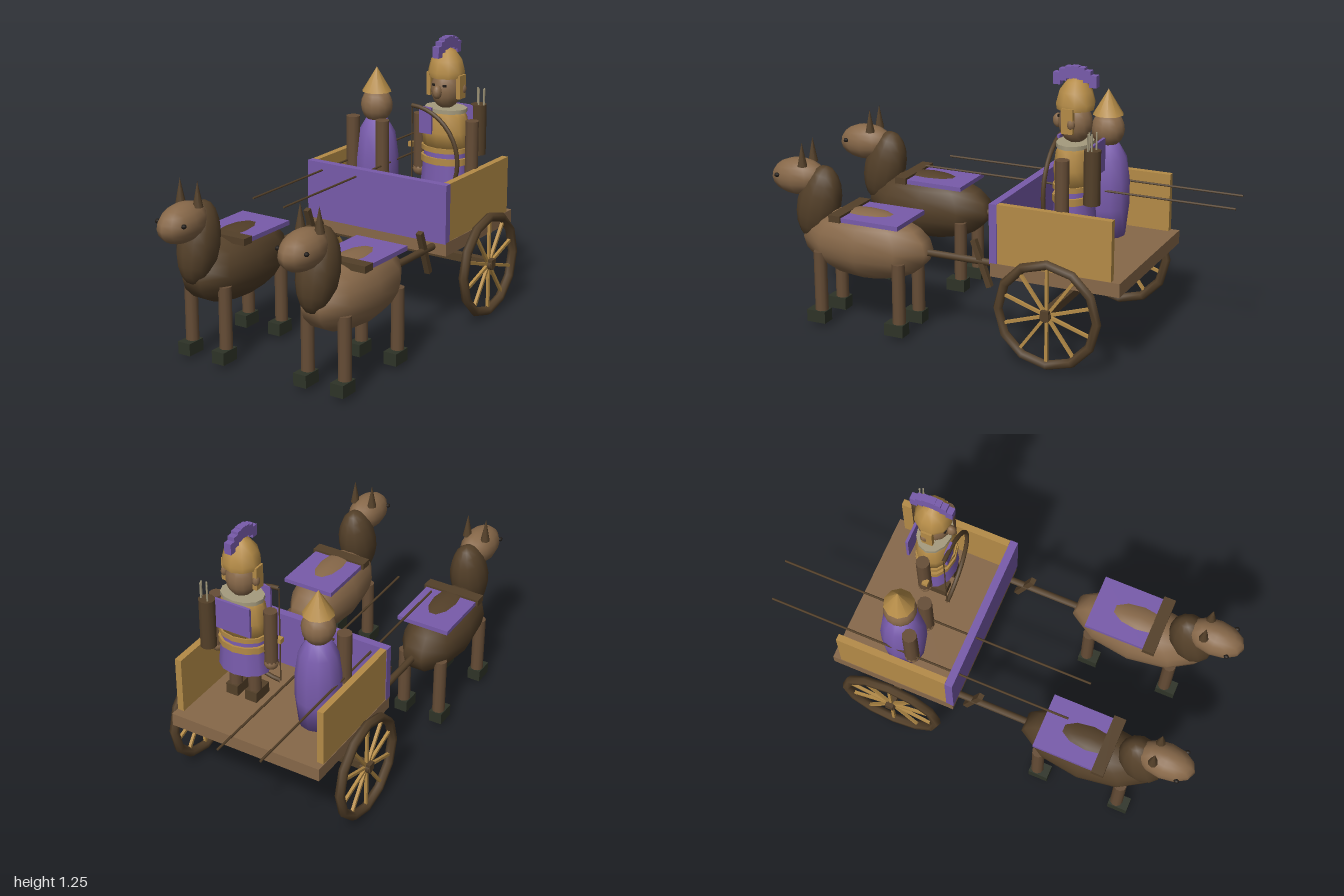
import * as THREE from 'three';

const mat = (name, color, side = THREE.FrontSide) => {
  const m = new THREE.MeshStandardMaterial({ color, side });
  m.name = name;
  return m;
};

export function createModel() {
  const model = new THREE.Group();
  model.name = 'warChariot';
  const tan = mat('tan brown', 0x876849);
  const brown = mat('leg brown', 0x664d36);
  const dark = mat('dark wood', 0x544029);
  const gold = mat('gold', 0xb48b47);
  const purple = mat('purple', 0x785bab, THREE.DoubleSide);
  const hoofMat = mat('hoof black', 0x2e3327);
  const black = mat('eye black', 0x211c18);
  const linen = mat('linen', 0xa59b7e);

  const add = (parent, name, geo, m, x = 0, y = 0, z = 0) => {
    const mesh = new THREE.Mesh(geo, m);
    mesh.name = name;
    mesh.position.set(x, y, z);
    parent.add(mesh);
    return mesh;
  };
  const group = (name, x, y, z) => {
    const g = new THREE.Group();
    g.name = name;
    g.position.set(x, y, z);
    model.add(g);
    return g;
  };
  const box = (w, h, d) => new THREE.BoxGeometry(w, h, d);
  const cyl = (r, h, n = 10, r2 = r) => new THREE.CylinderGeometry(r, r2, h, n);
  const ball = (rx, ry, rz, n = 12, k = 8) => new THREE.SphereGeometry(1, n, k).scale(rx, ry, rz);
  const lathe = (pts, n = 12) => new THREE.LatheGeometry(pts.map(p => new THREE.Vector2(...p)), n);

  // Cart body
  const cart = group('cart', 0, 0, 0);
  add(cart, 'floor', box(0.725, 0.06, 0.58), tan, 0, 0.388, -0.38);
  add(cart, 'frontPanel', box(0.725, 0.265, 0.035), purple, 0, 0.545, -0.103);
  for (const s of [-1, 1]) {
    add(cart, 'sidePanel', box(0.03, 0.265, 0.51), gold, s * 0.345, 0.545, -0.376);
    const shaft = add(cart, 'shaft', cyl(0.016, 0.36, 8), dark, s * 0.295, 0.392, 0.085);
    shaft.rotation.x = Math.PI / 2;
    const peg = add(cart, 'shaftPeg', box(0.026, 0.215, 0.024), dark, s * 0.295, 0.383, -0.02);
    peg.rotation.x = 0.36;
  }

  // Axle and wheels
  add(cart, 'axle', box(0.885, 0.036, 0.036), dark, 0, 0.258, -0.373);
  for (const s of [-1, 1]) {
    const wheel = group('wheel', s * 0.416, 0.25, -0.373);
    wheel.rotation.y = Math.PI / 2;
    add(wheel, 'rim', new THREE.TorusGeometry(0.221, 0.021, 6, 12), dark);
    add(wheel, 'hub', cyl(0.024, 0.045, 10), dark).rotation.x = Math.PI / 2;
    for (let i = 0; i < 10; i++) {
      const a = i * Math.PI / 5;
      const spoke = add(wheel, 'spoke', box(0.013, 0.205, 0.013), gold,
        -Math.sin(a) * 0.115, Math.cos(a) * 0.115, 0);
      spoke.rotation.z = a;
    }
  }

  // Spears lying along the cart
  for (const [x, z0, z1] of [[-0.103, -1, 0.45], [-0.285, -0.975, 0.42]]) {
    add(cart, 'spear', cyl(0.005, z1 - z0, 6), dark, x, 0.642, (z0 + z1) / 2).rotation.x = Math.PI / 2;
  }

  // Horses
  for (const [hx, coat] of [[-0.3, dark], [0.297, tan]]) {
    const horse = group('horse', hx, 0, 0);
    add(horse, 'body', ball(0.139, 0.156, 0.315, 10, 10), coat, 0, 0.394, 0.53);
    add(horse, 'neck', ball(0.085, 0.178, 0.1, 12, 10), dark, 0, 0.543, 0.77).rotation.x = -0.25;
    add(horse, 'head', ball(0.078, 0.083, 0.132, 12, 10), tan, 0, 0.655, 0.868).rotation.x = 0.06;
    add(horse, 'blanket', box(0.25, 0.02, 0.28), purple, 0, 0.525, 0.455);
    add(horse, 'yoke', box(0.272, 0.03, 0.055), dark, 0, 0.53, 0.617);
    for (const s of [-1, 1]) {
      add(horse, 'eye', ball(0.01, 0.01, 0.012, 8, 6), black, s * 0.068, 0.668, 0.94);
      add(horse, 'ear', new THREE.ConeGeometry(0.022, 0.11, 8), dark, s * 0.045, 0.77, 0.822);
      for (const z of [0.72, 0.333]) {
        add(horse, 'leg', cyl(0.029, 0.28, 10), brown, s * 0.09, 0.215, z);
        add(horse, 'hoof', box(0.062, 0.055, 0.09), hoofMat, s * 0.09, 0.055, z + 0.014);
      }
    }
  }

  // Driver
  const driver = group('driver', -0.192, 0, -0.39);
  add(driver, 'robe', lathe([[0, 0.42], [0.085, 0.42], [0.1, 0.55], [0.1, 0.66], [0.085, 0.77], [0.05, 0.83], [0, 0.845]]), purple);
  add(driver, 'head', ball(0.073, 0.08, 0.073, 14, 10), tan, 0, 0.895, 0);
  add(driver, 'hat', new THREE.ConeGeometry(0.068, 0.113, 10), gold, 0, 1.015, 0);
  for (const s of [-1, 1]) {
    add(driver, 'arm', cyl(0.032, 0.25, 10), brown, s * 0.079, 0.723, 0.075);
    add(driver, 'hand', ball(0.034, 0.034, 0.034, 10, 8), tan, s * 0.079, 0.6, 0.075);
  }

  // Archer: legs, skirt and armour
  const archer = group('archer', 0.174, 0, -0.39);
  for (const s of [-1, 1]) {
    add(archer, 'leg', cyl(0.03, 0.2, 10), brown, s * 0.048, 0.55, 0);
    add(archer, 'boot', box(0.058, 0.05, 0.1), dark, s * 0.048, 0.443, 0.015);
    add(archer, 'arm', cyl(0.03, 0.25, 10), brown, s * 0.134, 0.765, 0);
    add(archer, 'hand', ball(0.032, 0.032, 0.032, 10, 8), tan, s * 0.134, 0.632, 0);
    add(archer, 'cheekGuard', box(0.02, 0.105, 0.05), gold, s * 0.076, 1.037, 0.003);
    add(archer, 'ear', ball(0.016, 0.025, 0.018, 8, 6), tan, s * 0.077, 1.025, -0.012);
    add(archer, 'eye', box(0.016, 0.009, 0.009), black, s * 0.027, 1.044, 0.062);
  }
  const squash = g => g.scale(1, 1, 0.75);
  add(archer, 'skirt', squash(cyl(0.1, 0.18, 12, 0.118)), purple, 0, 0.665, 0);
  add(archer, 'breastplate', squash(lathe([[0, 0.745], [0.104, 0.745], [0.112, 0.83], [0.1, 0.9], [0.085, 0.922], [0, 0.922]])), gold);
  add(archer, 'belt', squash(cyl(0.115, 0.022, 12)), gold, 0, 0.752, 0);
  add(archer, 'lowerBelt', squash(cyl(0.117, 0.03, 12)), gold, 0, 0.702, 0);
  add(archer, 'collar', squash(cyl(0.1, 0.018, 12)), linen, 0, 0.928, 0);
  add(archer, 'shoulderCloth', box(0.062, 0.12, 0.012), purple, -0.053, 0.885, 0.085);
  add(archer, 'backCloth', box(0.19, 0.14, 0.012), purple, 0, 0.865, -0.09);
  add(archer, 'swordHilt', box(0.025, 0.022, 0.025), gold, -0.165, 0.745, 0.02);

  // Archer: head, helmet and crest
  add(archer, 'head', ball(0.068, 0.088, 0.072, 14, 10), tan, 0, 1.018, 0);
  add(archer, 'nose', ball(0.02, 0.031, 0.024, 10, 8), tan, 0, 1.016, 0.076);
  add(archer, 'helmet', lathe([[0.079, 1.075], [0.083, 1.1], [0.07, 1.15], [0.04, 1.19], [0, 1.212]], 10), gold);
  for (let i = -3; i <= 3; i++) {
    add(archer, 'crest', box(0.032, 0.05, 0.032), purple, 0, 1.228 - i * i * 0.0036, i * 0.0265);
  }

  // Bow with string
  const bow = group('bow', 0.055, 0.71, -0.298);
  const limb = add(bow, 'limb', new THREE.TorusGeometry(0.235, 0.01, 8, 20, Math.PI), dark);
  limb.rotation.z = -Math.PI / 2;
  add(bow, 'string', cyl(0.003, 0.47, 6), dark);

  // Quiver with arrows
  const quiver = group('quiver', 0.273, 0, -0.507);
  add(quiver, 'case', cyl(0.036, 0.23, 10), dark, 0, 0.822, 0);
  for (const [x, z] of [[0.006, 0.012], [0.024, -0.006], [-0.012, -0.012], [0.03, 0.008]]) {
    add(quiver, 'arrow', cyl(0.004, 0.22, 6), linen, x, 0.9, z);
  }

  return model;
}
